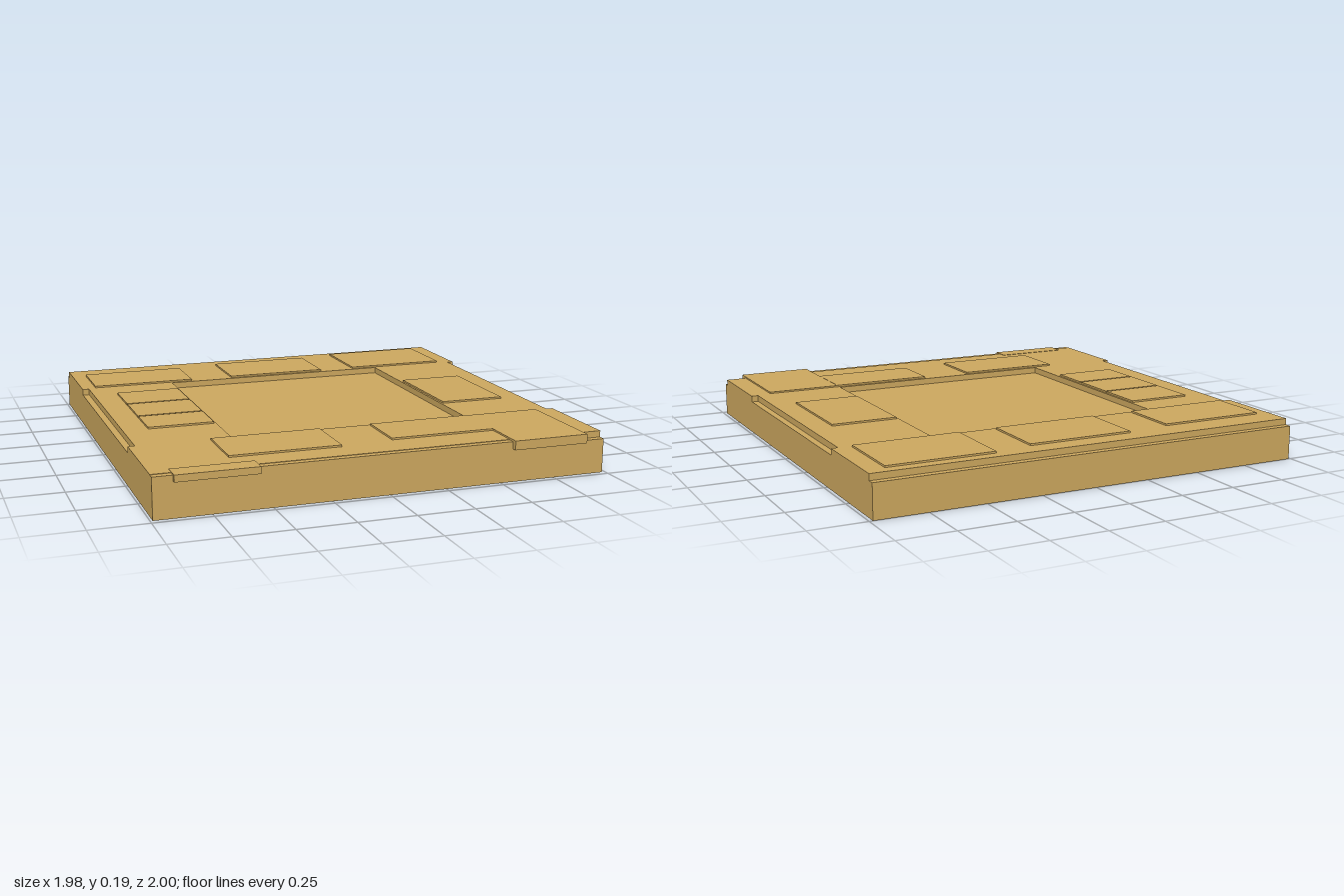
import * as THREE from 'three';

export function createModel() {
  const group = new THREE.Group();
  const material = new THREE.MeshStandardMaterial({ color: 0xcda85f });

  function add(geometry, name) {
    const mesh = new THREE.Mesh(geometry, material);
    mesh.name = name;
    group.add(mesh);
    return mesh;
  }

  // Box given by its limits on each axis
  function slab(name, x0, x1, y0, y1, z0, z1) {
    add(new THREE.BoxGeometry(x1 - x0, y1 - y0, z1 - z0), name)
      .position.set((x0 + x1) / 2, (y0 + y1) / 2, (z0 + z1) / 2);
  }

  // Solid base, whose top is the floor of the central recess
  slab('base', -0.99, 0.985, 0, 0.15, -1, 0.975);

  // Raised border with shallow side notches and a square opening.
  // Shape y is -z, so the extrusion rises along y once rotated.
  const toPoints = list => list.map(([x, z]) => new THREE.Vector2(x, -z));
  const outline = new THREE.Shape(toPoints([
    [-0.99, 0.945], [0.985, 0.945], [0.985, 0.525], [0.955, 0.525],
    [0.955, -0.555], [0.985, -0.555], [0.985, -0.97], [-0.99, -0.97],
    [-0.99, -0.555], [-0.96, -0.555], [-0.96, 0.525], [-0.99, 0.525],
  ]));
  outline.holes.push(new THREE.Path(toPoints([
    [-0.545, -0.555], [0.54, -0.555], [0.54, 0.525], [-0.545, 0.525],
  ])));
  const border = new THREE.ExtrudeGeometry(outline, { depth: 0.028, bevelEnabled: false });
  border.rotateX(-Math.PI / 2);
  border.translate(0, 0.15, 0);
  add(border, 'border');

  // Front edge strip and the two corner slabs that overhang it
  slab('frontStrip', -0.99, 0.55, 0.15, 0.176, 0.945, 0.975);
  slab('frontLipRight', -0.905, -0.555, 0.15, 0.18, 0.9, 0.99);
  slab('frontLipLeft', 0.55, 0.89, 0.145, 0.185, 0.54, 1);

  // Thin paving tiles on the border: x0, x1, z0, z1
  const tiles = [
    [-0.925, -0.44, -0.845, -0.57],
    [-0.235, 0.245, -0.88, -0.57],
    [0.42, 0.9, -0.92, -0.57],
    [0.55, 0.85, -0.205, 0.275],
    [-0.64, -0.155, 0.54, 0.82],
    [0.08, 0.55, 0.54, 0.79],
    [-0.85, -0.555, -0.4, -0.17],
    [-0.85, -0.555, -0.16, 0.07],
    [-0.85, -0.555, 0.08, 0.28],
  ];
  tiles.forEach(([x0, x1, z0, z1], i) =>
    slab('tile' + (i + 1), x0, x1, 0.17, 0.186, z0, z1));

  return group;
}
